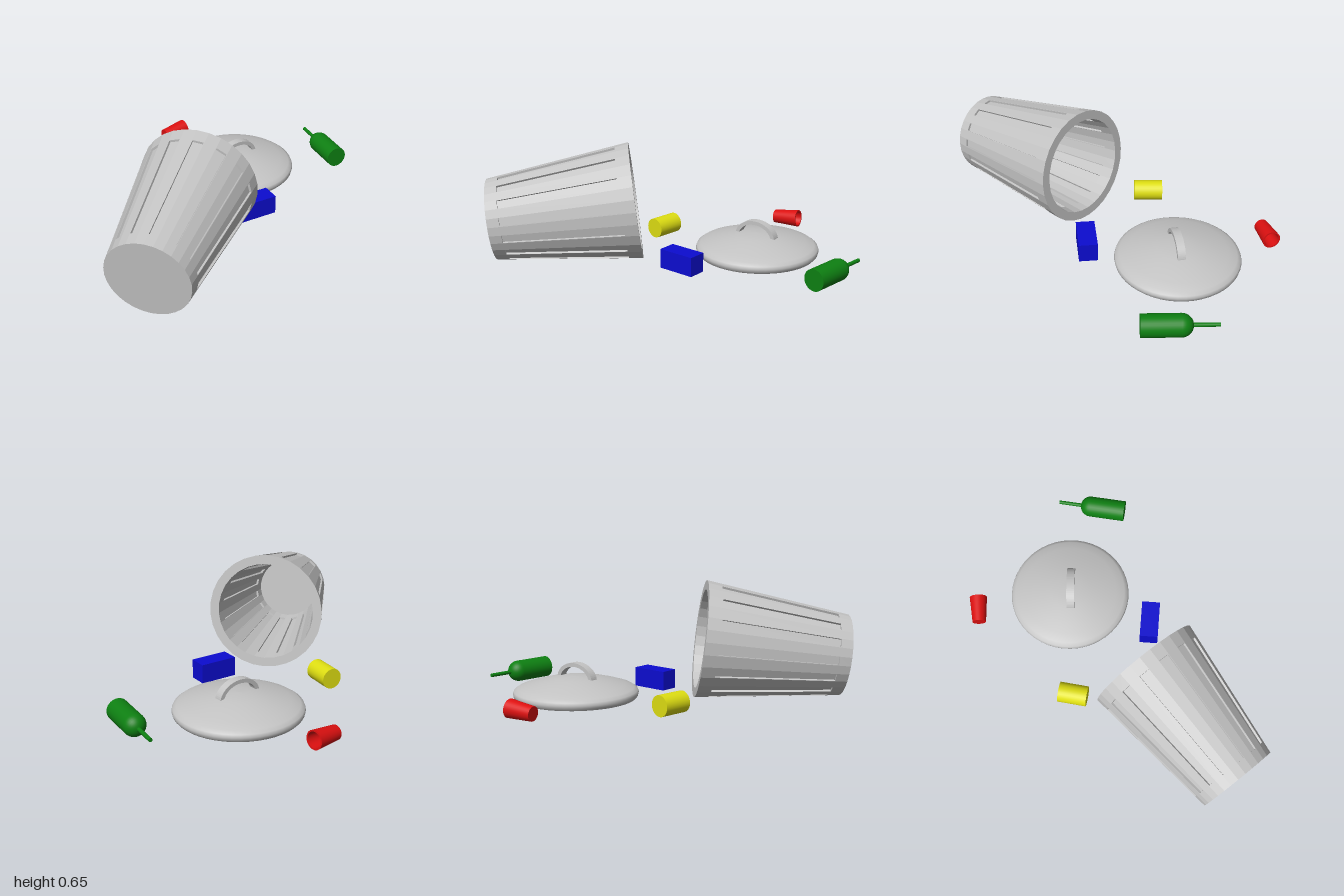
import * as THREE from 'three';

const material = (name, color) => {
  const m = new THREE.MeshStandardMaterial({ color });
  m.name = name;
  return m;
};

const add = (parent, name, geometry, mat) => {
  const mesh = new THREE.Mesh(geometry, mat);
  mesh.name = name;
  parent.add(mesh);
  return mesh;
};

// Lays an object whose axis is +Y so it starts at a and points to b
const lay = (object, a, b) => {
  const from = new THREE.Vector3(...a);
  const dir = new THREE.Vector3(...b).sub(from).normalize();
  object.position.copy(from);
  object.quaternion.setFromUnitVectors(new THREE.Vector3(0, 1, 0), dir);
};

// Lathe; points flagged with a third value of 1 are sharp
const lathe = (profile, sides) => new THREE.LatheGeometry(
  profile.flatMap(([x, y, sharp]) => {
    const p = new THREE.Vector2(x, y);
    return sharp ? [p, p.clone()] : [p];
  }), sides);

// Tapered thick-walled bin with recessed panels on every other facet
function binGeometry() {
  const sides = 30, height = 0.79, floorY = 0.05, depth = 0.012;
  const positions = [];
  const tri = (...pts) => pts.forEach(p => positions.push(p.x, p.y, p.z));
  const quad = (a, b, c, d) => { tri(a, b, c); tri(a, c, d); };
  const at = (r, angle, y) => new THREE.Vector3(r * Math.sin(angle), y, r * Math.cos(angle));

  const wall = (i, r0, r1, y0, push, flip) => {
    const a0 = i / sides * Math.PI * 2, a1 = (i + 1) / sides * Math.PI * 2;
    const mid = at(1, (a0 + a1) / 2, 0);
    const point = (u, v, d) => {
      const r = THREE.MathUtils.lerp(r0, r1, v), y = THREE.MathUtils.lerp(y0, height, v);
      return at(r, a0, y).lerp(at(r, a1, y), u).addScaledVector(mid, d);
    };
    const ring = (u, v0, v1, d) => {
      const pts = [point(u, v0, d), point(1 - u, v0, d), point(1 - u, v1, d), point(u, v1, d)];
      return flip ? pts.reverse() : pts;
    };
    const rings = [ring(0, 0, 1, 0)];
    if (i % 2 === 0) rings.push(ring(0.05, 0.085, 0.905, 0), ring(0.05, 0.085, 0.905, push));
    for (let k = 0; k + 1 < rings.length; k++) {
      for (let j = 0; j < 4; j++) {
        const n = (j + 1) % 4;
        quad(rings[k][j], rings[k][n], rings[k + 1][n], rings[k + 1][j]);
      }
    }
    quad(...rings[rings.length - 1]);
  };

  for (let i = 0; i < sides; i++) {
    const a0 = i / sides * Math.PI * 2, a1 = (i + 1) / sides * Math.PI * 2;
    wall(i, 0.224, 0.321, 0, -depth, false);
    wall(i, 0.178, 0.271, floorY, depth, true);
    quad(at(0.321, a0, height), at(0.321, a1, height), at(0.271, a1, height), at(0.271, a0, height));
    tri(at(0, 0, 0), at(0.224, a1, 0), at(0.224, a0, 0));
    tri(at(0, 0, floorY), at(0.178, a0, floorY), at(0.178, a1, floorY));
  }
  const g = new THREE.BufferGeometry();
  g.setAttribute('position', new THREE.Float32BufferAttribute(positions, 3));
  g.computeVertexNormals();
  return g;
}

export function createModel() {
  const model = new THREE.Group();
  model.name = 'spilledBin';
  const grey = material('metalGrey', 0xc4c4c4);
  const red = material('cupRed', 0xdc1010);
  const yellow = material('canYellow', 0xdede12);
  const blue = material('boxBlue', 0x0c0cd0);
  const green = material('bottleGreen', 0x0e8012);

  // Bin lying on its side, mouth to the back
  const bin = add(model, 'bin', binGeometry(), grey);
  bin.position.set(-0.032, 0.238, 0.975);
  bin.rotation.x = -1.45;

  // Lid with arched handle
  const lid = new THREE.Group();
  lid.name = 'lid';
  lid.position.set(-0.033, 0, -0.488);
  model.add(lid);
  add(lid, 'lidDome', lathe([
    [0, 0.014], [0.328, 0.014, 1], [0.339, 0.026], [0.343, 0.042], [0.338, 0.057],
    [0.318, 0.071], [0.27, 0.087], [0.2, 0.106], [0.12, 0.123], [0.06, 0.13], [0, 0.132],
  ], 48), grey);

  const arch = new THREE.Shape();
  arch.moveTo(0.125, 0);
  arch.absellipse(0, 0, 0.125, 0.095, 0, Math.PI, false);
  arch.lineTo(-0.102, 0);
  arch.absellipse(0, 0, 0.102, 0.074, Math.PI, 0, true);
  arch.closePath();
  const handleGeo = new THREE.ExtrudeGeometry(arch, { depth: 0.044, bevelEnabled: false, curveSegments: 16 });
  handleGeo.translate(0, 0, -0.022);
  const handle = add(lid, 'lidHandle', handleGeo, grey);
  handle.position.set(0.007, 0.109, 0.005);
  handle.rotation.y = 0.888;

  // Bottle with domed shoulder and thin neck
  const dome = [];
  for (let i = 0; i <= 8; i++) {
    const t = i / 8 * 1.39;
    dome.push([0.06 * Math.cos(t), 0.205 + 0.06 * Math.sin(t), i === 8]);
  }
  const bottle = add(model, 'bottle', lathe([
    [0, 0], [0.06, 0, 1], ...dome, [0.0105, 0.396, 1], [0, 0.396],
  ], 32), green);
  lay(bottle, [0.542, 0.074, -0.697], [0.275, 0.074, -0.99]);

  // Hollow tapered cup
  const cup = add(model, 'cup', lathe([
    [0, 0], [0.039, 0, 1], [0.05, 0.151, 1], [0.042, 0.151, 1], [0.032, 0.01, 1], [0, 0.01],
  ], 32), red);
  lay(cup, [-0.555, 0.05, -0.675], [-0.47, 0.06, -0.8]);

  // Can
  const canGeo = new THREE.CylinderGeometry(0.057, 0.057, 0.162, 32);
  canGeo.translate(0, 0.081, 0);
  const can = add(model, 'can', canGeo, yellow);
  lay(can, [-0.345, 0.058, 0.075], [-0.452, 0.058, -0.048]);

  // Carton
  const carton = add(model, 'carton', new THREE.BoxGeometry(0.212, 0.107, 0.103), blue);
  carton.position.set(0.21, 0.068, -0.048);
  carton.rotation.y = 0.818;

  return model;
}
